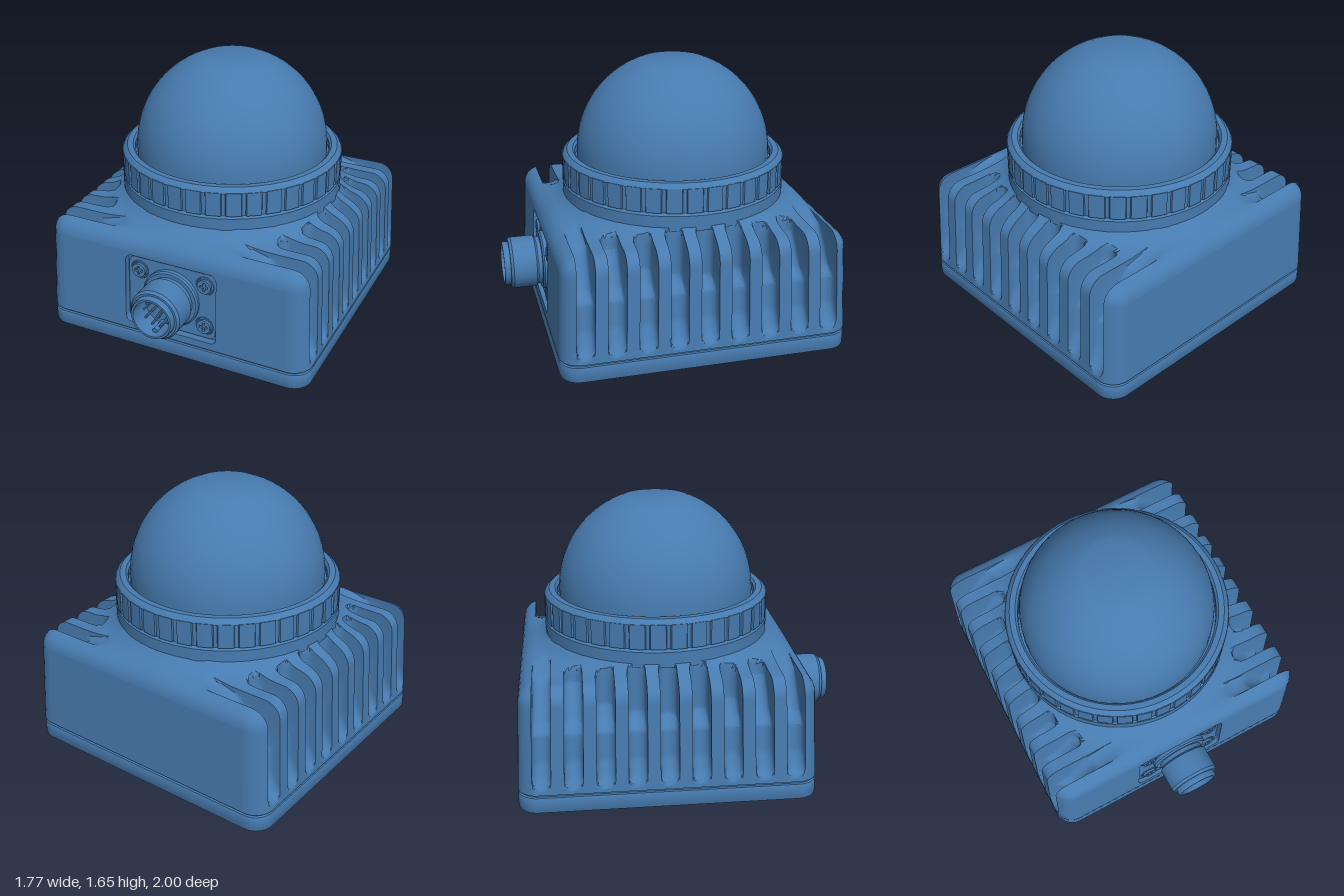
import * as THREE from 'three';
import { toCreasedNormals } from 'three/addons/utils/BufferGeometryUtils.js';

const W = 0.885, CORNER = 0.12, EDGE = 0.1, Y0 = 0.115;
const blue = new THREE.MeshStandardMaterial({ color: 0x477bb0 });
blue.name = 'blue';

function add(parent, name, geo, x = 0, y = 0, z = 0) {
  const m = new THREE.Mesh(toCreasedNormals(geo, 0.55), blue);
  m.name = name;
  m.position.set(x, y, z);
  parent.add(m);
  return m;
}
const V = (pts) => pts.map((p) => new THREE.Vector2(p[0], p[1]));
const lathe = (pts, n = 64) => new THREE.LatheGeometry(V(pts), n);
const extrude = (shape, depth, opts = {}) =>
  new THREE.ExtrudeGeometry(shape, { depth, bevelEnabled: false, curveSegments: 10, ...opts });

function roundRect(hw, hh, r, cy = 0, Type = THREE.Shape) {
  const s = new Type();
  s.absarc(hw - r, cy + hh - r, r, 0, Math.PI / 2);
  s.absarc(-hw + r, cy + hh - r, r, Math.PI / 2, Math.PI);
  s.absarc(-hw + r, cy - hh + r, r, Math.PI, Math.PI * 1.5);
  s.absarc(hw - r, cy - hh + r, r, Math.PI * 1.5, Math.PI * 2);
  s.closePath();
  return s;
}
const circle = (x, y, r) => new THREE.Path().absarc(x, y, r, 0, Math.PI * 2);

// Cooling slots: floor line (y, x), inner ends by distance from the middle
const PITCH = 0.187, HALF = 0.055;
const SLOT_ENDS = [0.7, 0.69, 0.66, 0.58, 0.39];
const FLOOR = [[0.12, 0.93], [0.15, 0.88], [0.19, 0.84], [0.28, 0.8], [0.45, 0.785], [0.5, 0.71],
  [0.66, 0.6], [0.71, 0.56], [0.755, 0.39], [2, 0.38]];
function floorX(y) {
  for (let i = 1; i < FLOOR.length; i++) {
    const [ya, xa] = FLOOR[i - 1], [yb, xb] = FLOOR[i];
    if (y < yb) return xa + (xb - xa) * Math.max(0, (y - ya) / (yb - ya));
  }
  return 0.38;
}

// Housing volume: rounded square with a soft top edge, rising to the collar
function inside(x, y, z, slot) {
  const qx = Math.abs(x) - (W - CORNER), qz = Math.abs(z) - (W - CORNER);
  const d = CORNER - Math.hypot(Math.max(qx, 0), Math.max(qz, 0)) - Math.min(Math.max(qx, qz), 0);
  if (d < -1e-6) return false;
  const c = Math.max(0, EDGE - Math.max(d, 0));
  const drop = EDGE - Math.sqrt(EDGE * EDGE - c * c);
  const rise = Math.min(1, Math.max(0, (0.98 - Math.hypot(x, z)) / 0.28));
  if (y > 0.752 + 0.1 * rise ** 3.5 - drop) return false;
  if (slot === null) return true;
  const dz = z - slot * PITCH;
  const round = HALF - Math.sqrt(Math.max(0, HALF * HALF - dz * dz));
  return Math.abs(x) < Math.max(floorX(y), SLOT_ENDS[Math.abs(slot)]) + round;
}

// Outline of the housing at one z, from the left side over the top to the right
function outline(z, slot) {
  const targets = [], N = 28, M = 48;
  for (let i = 0; i < N; i++) targets.push([W, Y0 + (0.64 * i) / N]);
  for (let i = 0; i <= M; i++) targets.push([W * (1 - (2 * i) / M), 0.755]);
  for (let i = N - 1; i >= 0; i--) targets.push([-W, Y0 + (0.64 * i) / N]);
  return targets.map(([tx, ty]) => {
    let lo = 0, hi = 1.5;
    for (let k = 0; k < 24; k++) {
      const t = (lo + hi) / 2;
      if (inside(tx * t, Y0 + (ty - Y0) * t, z, slot)) lo = t; else hi = t;
    }
    return [tx * lo, Y0 + (ty - Y0) * lo];
  });
}

// The walls lean in slightly towards the top
const lean = (y) => 1 - 0.05 * (y - Y0);
function taper(geo) {
  const p = geo.attributes.position;
  for (let i = 0; i < p.count; i++) {
    const k = lean(p.getY(i));
    p.setX(i, p.getX(i) * k);
    p.setZ(i, p.getZ(i) * k);
  }
  return geo;
}

function buildHousing(parent) {
  const ends = [0, 0.003, 0.012, 0.028, 0.05];
  const slices = ends.map((o) => [-W + o, null]);
  for (let s = -4; s <= 4; s++) {
    const c = s * PITCH;
    slices.push([c - HALF, null]);
    for (const f of [-1, -0.92, -0.75, -0.4, 0, 0.4, 0.75, 0.92, 1]) slices.push([c + f * HALF, s]);
    slices.push([c + HALF, null]);
  }
  for (const o of [...ends].reverse()) slices.push([W - o, null]);
  const rows = slices.map(([z, s]) => outline(z, s));
  const n = rows[0].length, pos = [], index = [];
  rows.forEach((row, j) => row.forEach(([x, y]) => pos.push(x, y, slices[j][0])));
  for (let j = 0; j < rows.length - 1; j++) {
    for (let i = 0; i < n - 1; i++) {
      const a = j * n + i, b = a + 1, c = a + n, d = c + 1;
      index.push(a, b, c, b, d, c);
    }
  }
  const geo = new THREE.BufferGeometry();
  geo.setAttribute('position', new THREE.Float32BufferAttribute(pos, 3));
  geo.setIndex(index);
  add(parent, 'finnedHousing', taper(geo));

  // End faces; the front one is open for the connector recess
  const front = new THREE.Shape(V(rows[0]));
  front.holes.push(roundRect(0.31, 0.235, 0.04, 0.395, THREE.Path));
  add(parent, 'frontFace', taper(new THREE.ShapeGeometry(front).translate(0, 0, W)));
  const back = new THREE.ShapeGeometry(new THREE.Shape(V(rows[0])));
  add(parent, 'backFace', taper(back.rotateY(Math.PI).translate(0, 0, -W)));
}

// Cross-head screw facing +z
function screw(r) {
  const g = new THREE.Group();
  g.name = 'screw';
  const head = new THREE.Shape().absarc(0, 0, r, 0, Math.PI * 2);
  const a = r * 0.18, b = r * 0.6;
  head.holes.push(new THREE.Path(V([[a, a], [b, a], [b, -a], [a, -a], [a, -b], [-a, -b],
    [-a, -a], [-b, -a], [-b, a], [-a, a], [-a, b], [a, b]])));
  add(g, 'screwHead', extrude(head, 0.02), 0, 0, -0.02);
  add(g, 'screwCore', new THREE.CylinderGeometry(r, r, 0.02, 20).rotateX(Math.PI / 2), 0, 0, -0.025);
  return g;
}

function buildConnector(parent) {
  const g = new THREE.Group();
  g.name = 'connectorPanel';
  g.position.set(0, 0.395, W * lean(0.395));
  g.rotation.x = -0.044;
  parent.add(g);
  const frame = roundRect(0.33, 0.25, 0.06);
  frame.holes.push(roundRect(0.31, 0.235, 0.04, 0, THREE.Path));
  add(g, 'recessWall', extrude(frame, 0.058), 0, 0, -0.06);
  add(g, 'recessFloor', extrude(roundRect(0.32, 0.24, 0.04), 0.01), 0, 0, -0.06);
  add(g, 'panelPlate', extrude(roundRect(0.293, 0.218, 0.04), 0.025), 0, 0, -0.05);
  for (const x of [-0.22, 0.22]) for (const y of [-0.137, 0.137]) {
    const s = screw(0.045);
    s.position.set(x, y, -0.008);
    g.add(s);
    add(g, 'screwRim', new THREE.TorusGeometry(0.056, 0.005, 6, 24), x, y, -0.025);
  }

  const plug = new THREE.Group();
  plug.name = 'connector';
  plug.position.set(0, 0.395, 0);
  parent.add(plug);
  add(plug, 'connectorBarrel', lathe([[0.185, 0.82], [0.185, 0.865], [0.175, 0.875], [0.15, 0.875],
    [0.15, 0.9], [0.163, 0.912], [0.163, 1.055], [0.15, 1.072], [0.137, 1.072], [0.137, 1.1],
    [0.131, 1.11], [0.118, 1.11], [0.118, 0.96], [0, 0.96]], 48).rotateX(Math.PI / 2));
  const pin = (r, a) => add(plug, 'pin', new THREE.CylinderGeometry(0.008, 0.008, 0.1, 8)
    .rotateX(Math.PI / 2), r * Math.sin(a), r * Math.cos(a), 1.0);
  for (let i = 0; i < 9; i++) pin(0.08, (i * Math.PI * 2) / 9);
  for (let i = 0; i < 3; i++) pin(0.03, (i * Math.PI * 2) / 3 + Math.PI);
  add(plug, 'keyway', new THREE.CylinderGeometry(0.016, 0.016, 0.11, 12).rotateX(Math.PI / 2), 0, -0.106, 1.01);
}

function buildBase(parent) {
  const plate = roundRect(W, W, CORNER);
  for (const x of [-1, 1]) for (const z of [-1, 1]) {
    plate.holes.push(circle(x * 0.77, z * 0.77, 0.062), circle(x * 0.5, z * 0.635, 0.03));
    const s = screw(0.045);
    s.rotation.x = Math.PI / 2;
    s.position.set(x * 0.77, 0.012, z * 0.77);
    parent.add(s);
  }
  plate.holes.push(circle(0.44, 0, 0.036));
  const slot = new THREE.Path();
  slot.absarc(-0.63, 0, 0.036, -Math.PI / 2, Math.PI / 2);
  slot.absarc(-0.68, 0, 0.036, Math.PI / 2, Math.PI * 1.5);
  plate.holes.push(slot);
  add(parent, 'basePlate', extrude(plate, 0.084, { bevelEnabled: true, bevelSize: 0.008,
    bevelThickness: 0.008, bevelOffset: -0.008, bevelSegments: 2 })
    .rotateX(-Math.PI / 2).translate(0, 0.008, 0));
  add(parent, 'gasket', extrude(roundRect(W - 0.015, W - 0.015, CORNER - 0.01), 0.07)
    .rotateX(-Math.PI / 2).translate(0, 0.055, 0));
}

function buildDome(parent) {
  add(parent, 'collar', lathe([[0.7, 0.8], [0.7, 0.895], [0.685, 0.908], [0.66, 0.912]], 72));

  // Grip ring with shallow notches
  const ring = new THREE.Shape(), teeth = 36;
  for (let i = 0; i < teeth; i++) {
    for (const [f, r] of [[0, 0.69], [0.18, 0.69], [0.22, 0.7], [0.6, 0.7], [0.96, 0.7]]) {
      const a = ((i + f) / teeth) * Math.PI * 2;
      ring[i || f ? 'lineTo' : 'moveTo'](r * Math.cos(a), r * Math.sin(a));
    }
  }
  ring.closePath();
  ring.holes.push(circle(0, 0, 0.63));
  add(parent, 'gripRing', extrude(ring, 0.15, { curveSegments: 40 }).rotateX(-Math.PI / 2).translate(0, 0.912, 0));
  add(parent, 'ringLip', lathe([[0.698, 1.058], [0.692, 1.07], [0.668, 1.09], [0.632, 1.09],
    [0.618, 1.075], [0.618, 1.03], [0.58, 1.03]], 72));

  // Dome with a flat crown
  const R = 0.605, cy = 1.084, profile = [[R, 0.98]];
  const top = Math.acos(0.2 / R);
  for (let i = 0; i <= 18; i++) {
    const a = (top * i) / 18;
    profile.push([R * Math.cos(a), cy + R * Math.sin(a)]);
  }
  profile.push([0, cy + R * Math.sin(top)]);
  add(parent, 'dome', lathe(profile, 56));
}

export function createModel() {
  const model = new THREE.Group();
  model.name = 'domeSensor';
  const body = new THREE.Group();
  body.name = 'body';
  body.position.z = -0.11;
  model.add(body);
  buildBase(body);
  buildHousing(body);
  buildConnector(body);
  buildDome(body);
  return model;
}
